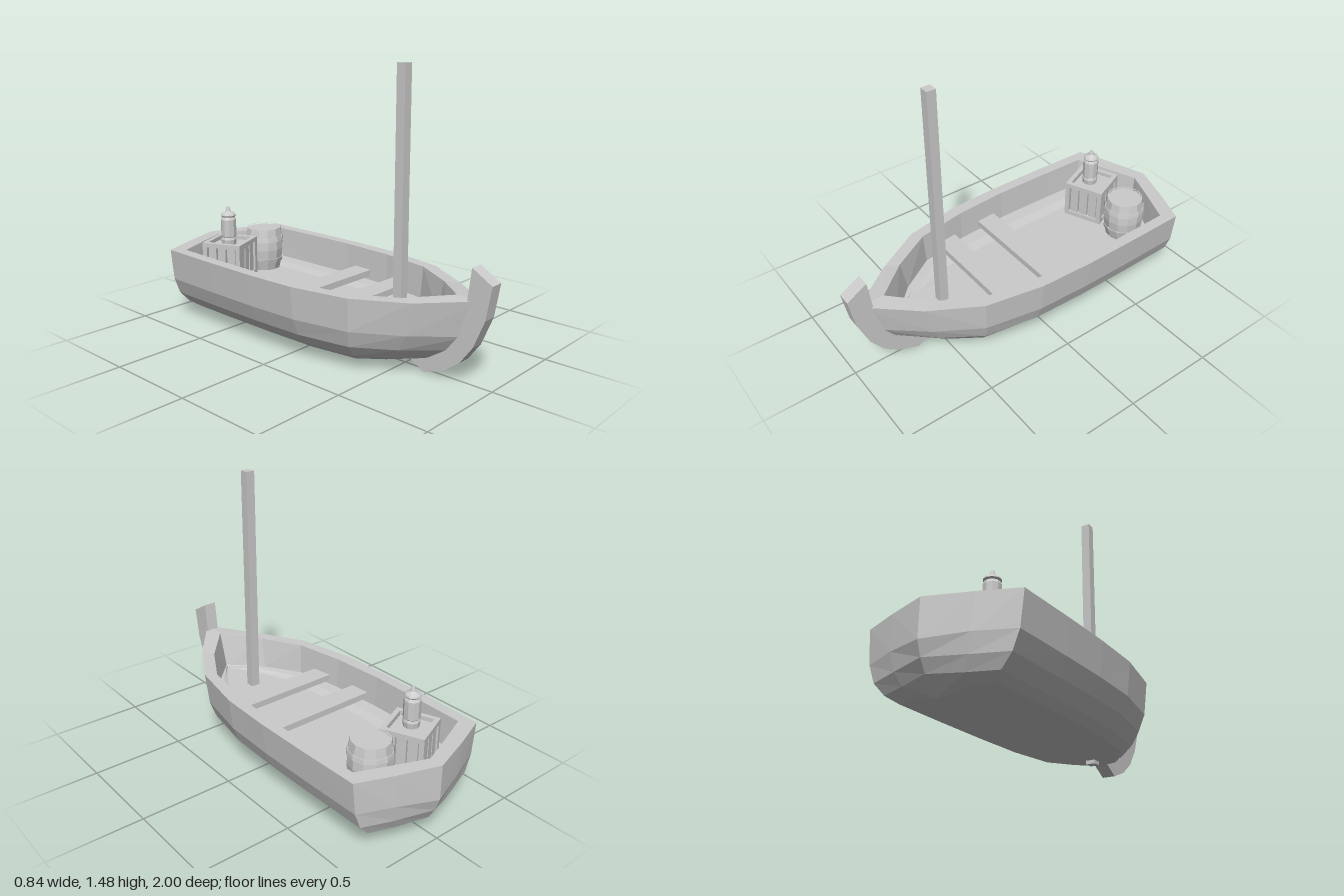
import * as THREE from 'three';

const mat = new THREE.MeshStandardMaterial({ color: 0xcccccc, flatShading: true });
const FLOOR = 0.22;

function add(parent, name, geometry, x = 0, y = 0, z = 0) {
  const mesh = new THREE.Mesh(geometry, mat);
  mesh.name = name;
  mesh.position.set(x, y, z);
  parent.add(mesh);
  return mesh;
}
const box = (w, h, d) => new THREE.BoxGeometry(w, h, d);
const lathe = (pts, sides, start = 0, length = Math.PI * 2) =>
  new THREE.LatheGeometry(pts.map(([r, y]) => new THREE.Vector2(r, y)), sides, start, length);

// Plan outlines [x, z] of the gunwale: stern centre, half transom, corner, then along the side to the bow
const OUTER = [[0, -1], [0.22, -0.92], [0.41, -0.85], [0.418, -0.5], [0.42, -0.2], [0.41, 0.1], [0.35, 0.42], [0.2, 0.68], [0, 0.93]];
const INNER = [[0, -0.925], [0.18, -0.855], [0.35, -0.785], [0.357, -0.5], [0.36, -0.2], [0.342, 0.1], [0.295, 0.38], [0.17, 0.6], [0, 0.79]];

// Section levels: plan, width factor, y, stern centre y and z, corner z, bow tip z
const LEVELS = [
  [OUTER, 0, 0.05, 0.012, -0.85, -0.78, 0.57],
  [OUTER, 0.62, 0.05, 0.015, -0.855, -0.79, 0.59],
  [OUTER, 0.73, 0.082, 0.09, -0.94, -0.84, 0.69],
  [OUTER, 0.87, 0.145, 0.15, -0.975, -0.85, 0.78],
  [OUTER, 0.955, 0.235, 0.22, -1, -0.85, 0.865],
  [OUTER, 1, 0.408, 0.408, -1, -0.85, 0.93],
  [INNER, 1, 0.408, 0.408, -0.925, -0.785, 0.79],
  [INNER, 0.98, FLOOR + 0.015, FLOOR + 0.015, -0.915, -0.77, 0.735],
  [INNER, 0.78, FLOOR + 0.012, FLOOR + 0.012, -0.915, -0.77, 0.73],
  [INNER, 0.62, FLOOR, FLOOR, -0.91, -0.77, 0.725],
  [INNER, 0, FLOOR, FLOOR, -0.91, -0.77, 0.725],
];

// Closed shell: outside, gunwale, inside and floor, mirrored across x
function hullGeometry() {
  const grid = LEVELS.map(([plan, w, y, sternY, sternZ, cornerZ, bowZ]) =>
    plan.map(([x, z], j) => {
      const tip = plan[plan.length - 1][1];
      let pz = z > 0.3 ? 0.3 + (z - 0.3) * (bowZ - 0.3) / (tip - 0.3) : z;
      if (j < 3) pz = [sternZ, (sternZ + cornerZ) / 2, cornerZ][j];
      const sheer = y > 0.4 && j === plan.length - 1 ? 0.018 : 0;
      return [x * w, (j === 0 ? sternY : y) + sheer, pz];
    }));
  const pos = [];
  for (const s of [1, -1]) {
    const tri = (a, b, c) => {
      for (const p of s > 0 ? [a, b, c] : [a, c, b]) pos.push(p[0] * s, p[1], p[2]);
    };
    for (let i = 0; i < grid.length - 1; i++) {
      for (let j = 0; j < OUTER.length - 1; j++) {
        const a = grid[i][j], b = grid[i + 1][j], c = grid[i + 1][j + 1], d = grid[i][j + 1];
        tri(a, b, c);
        tri(a, c, d);
      }
    }
  }
  const g = new THREE.BufferGeometry();
  g.setAttribute('position', new THREE.Float32BufferAttribute(pos, 3));
  g.computeVertexNormals();
  return g;
}

// Curved stem post, drawn in side profile (z, y) and given its width along x
function stemGeometry() {
  const pts = [[1, 0.52], [0.89, 0.585], [0.87, 0.42], [0.83, 0.24], [0.76, 0.15], [0.66, 0.085], [0.53, 0.065],
    [0.64, 0.003], [0.75, 0.045], [0.84, 0.11], [0.91, 0.205], [0.97, 0.35]];
  const shape = new THREE.Shape(pts.map(([z, y]) => new THREE.Vector2(-z, y)));
  const g = new THREE.ExtrudeGeometry(shape, { depth: 0.072, bevelEnabled: false });
  g.translate(0, 0, -0.036);
  g.rotateY(Math.PI / 2);
  return g;
}

// Framed crate with upright slats on each side
function makeCrate() {
  const crate = new THREE.Group();
  crate.name = 'crate';
  const H = 0.44 - FLOOR, W = 0.23, T = 0.026, o = (W - T) / 2;
  add(crate, 'crateCore', box(W - 0.06, H - 0.02, W - 0.06), 0, (H - 0.02) / 2, 0);
  for (let k = 0; k < 4; k++) {
    const side = new THREE.Group();
    side.name = 'crateSide';
    side.rotation.y = k * Math.PI / 2;
    crate.add(side);
    add(side, 'cratePost', box(T, H, T), o, H / 2, o);
    for (const y of [T / 2, H - T / 2]) add(side, 'crateRail', box(W - 2 * T, T, T), 0, y, o);
    for (const x of [-0.058, 0, 0.058]) add(side, 'crateSlat', box(0.046, H - 2 * T, 0.02), x, H / 2, o - 0.006);
  }
  return crate;
}

// Barrel of separate staves around a core, with two hoops
function makeBarrel() {
  const barrel = new THREE.Group();
  barrel.name = 'barrel';
  const profile = [[0.094, 0], [0.108, 0.06], [0.114, 0.12], [0.111, 0.18], [0.1, 0.245], [0.092, 0.245]];
  add(barrel, 'barrelCore', lathe([[0, 0], ...profile.slice(0, 5).map(([r, y]) => [r - 0.006, y * 0.97]), [0, 0.238]], 12));
  const step = Math.PI / 6;
  for (let k = 0; k < 12; k++) add(barrel, 'barrelStave', lathe(profile, 1, k * step + 0.025, step - 0.05));
  for (const [y, r0, r1] of [[0.045, 0.109, 0.114], [0.17, 0.117, 0.113]]) {
    add(barrel, 'barrelHoop', lathe([[r0 - 0.015, y], [r0, y], [r1, y + 0.022], [r1 - 0.015, y + 0.022]], 12));
  }
  return barrel;
}

export function createModel() {
  const boat = new THREE.Group();
  boat.name = 'boat';
  add(boat, 'hull', hullGeometry());
  add(boat, 'stemPost', stemGeometry());
  add(boat, 'mast', box(0.05, 1.45, 0.05), 0, 0.755, 0.458);

  // Rowing benches
  add(boat, 'rearBench', box(0.712, 0.035, 0.115), 0, 0.275, -0.078);
  add(boat, 'frontBench', box(0.66, 0.035, 0.115), 0, 0.275, 0.213);

  // Cargo at the stern
  const crate = makeCrate();
  crate.position.set(-0.115, FLOOR, -0.685);
  crate.rotation.y = 0.4;
  boat.add(crate);
  const barrel = makeBarrel();
  barrel.position.set(0.155, FLOOR, -0.692);
  boat.add(barrel);

  // Lantern standing on the crate
  add(boat, 'lantern', lathe([[0, 0.41], [0.04, 0.41], [0.045, 0.45], [0.04, 0.464], [0.044, 0.468], [0.044, 0.565],
    [0.036, 0.58], [0.044, 0.588], [0.04, 0.597], [0.022, 0.606], [0.015, 0.612], [0.008, 0.636], [0, 0.638]], 10),
    -0.128, 0, -0.678);
  return boat;
}
